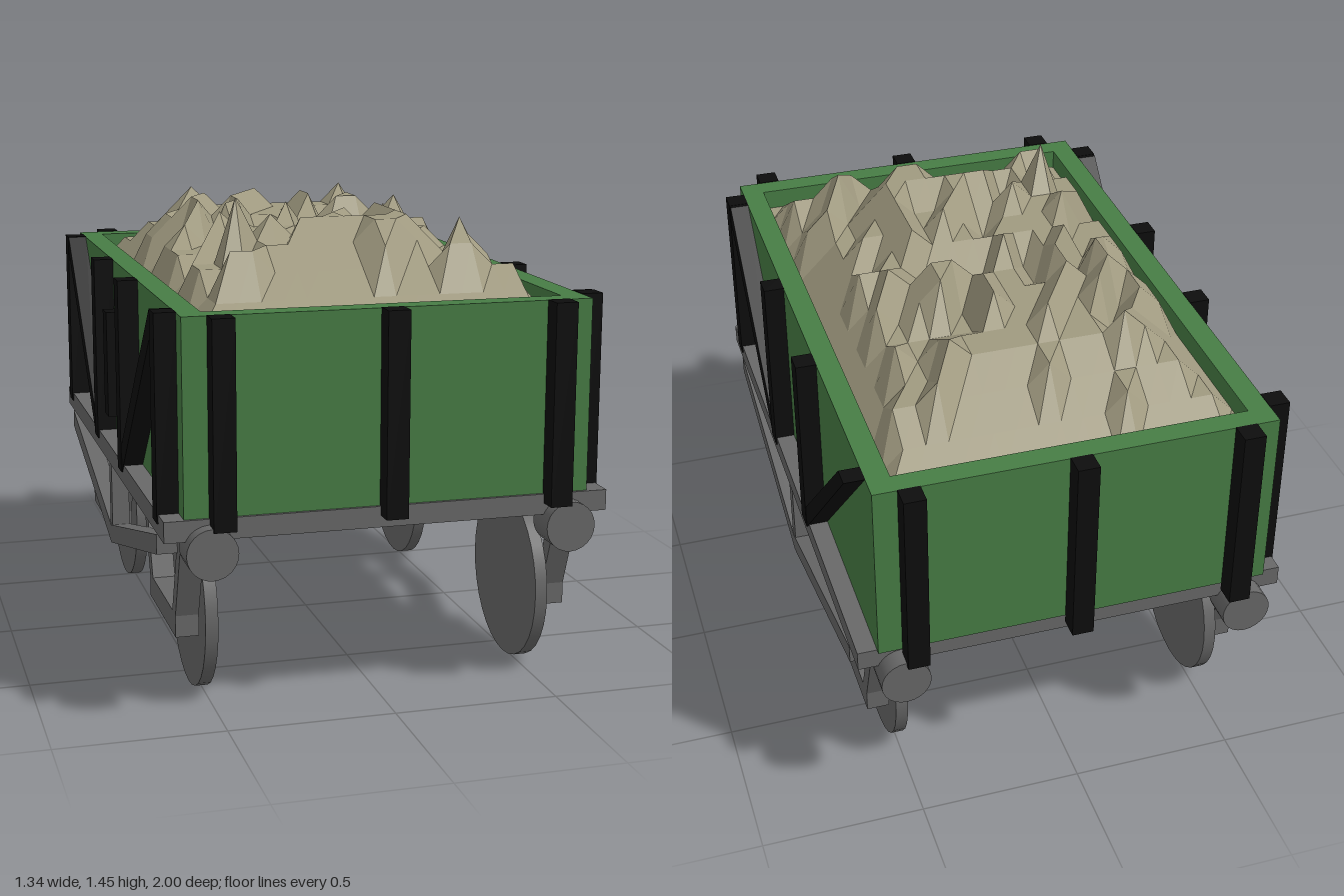
import * as THREE from 'three';

const mat = (name, color) => {
  const m = new THREE.MeshStandardMaterial({ color });
  m.name = name;
  return m;
};

export function createModel() {
  const green = mat('green paint', 0x477d45);
  const grey = mat('grey metal', 0x686868);
  const black = mat('black iron', 0x0d0d0d);
  const stone = mat('crushed stone', 0xa09a80);
  const wagon = new THREE.Group();
  wagon.name = 'wagon';

  const add = (name, geometry, material) => {
    const mesh = new THREE.Mesh(geometry, material);
    mesh.name = name;
    wagon.add(mesh);
    return mesh;
  };
  // Box given by its lower and upper limits
  const block = (name, material, [x0, x1], [y0, y1], [z0, z1]) =>
    add(name, new THREE.BoxGeometry(x1 - x0, y1 - y0, z1 - z0), material)
      .position.set((x0 + x1) / 2, (y0 + y1) / 2, (z0 + z1) / 2);
  // Side profile of [z, y] points, extruded between two x positions
  const profile = (name, material, points, x0, x1) => {
    const shape = new THREE.Shape(points.map(([z, y]) => new THREE.Vector2(z, y)));
    const g = new THREE.ExtrudeGeometry(shape, { depth: x1 - x0, bevelEnabled: false });
    g.rotateY(-Math.PI / 2).translate(x1, 0, 0);
    add(name, g, material);
  };
  // x range mirrored to the chosen side
  const span = (side, a, b) => (side > 0 ? [a, b] : [-b, -a]);

  // Open-topped body
  const rect = (C, w, d) => {
    const s = new C();
    s.moveTo(-w, -d).lineTo(w, -d).lineTo(w, d).lineTo(-w, d).closePath();
    return s;
  };
  const walls = rect(THREE.Shape, 0.605, 0.935);
  walls.holes.push(rect(THREE.Path, 0.535, 0.865));
  add('body', new THREE.ExtrudeGeometry(walls, { depth: 0.575, bevelEnabled: false })
    .rotateX(-Math.PI / 2).translate(0, 0.61, 0), green);

  // Underframe
  block('underframe', grey, [-0.664, 0.664], [0.55, 0.612], [-0.92, 0.945]);

  // End posts
  for (const x of [-0.5, 0, 0.5]) {
    block('frontPost', black, [x - 0.033, x + 0.033], [0.585, 1.187], [0.934, 1]);
    block('backPost', black, [x - 0.033, x + 0.033], [0.585, 1.187], [-1, -0.934]);
  }

  for (const side of [-1, 1]) {
    const outer = span(side, 0.604, 0.668);

    // Side posts; only one side has the post at the back corner
    const posts = side > 0 ? [0.832, 0.235, -0.23] : [0.832, 0.235, -0.23, -0.832];
    for (const z of posts) {
      block('sidePost', black, outer, [0.585, 1.187], [z - 0.033, z + 0.033]);
    }

    // Diagonal braces
    profile('frontBrace', black,
      [[0.83, 1.145], [0.83, 1.186], [0.785, 1.186], [0.235, 0.64], [0.235, 0.586], [0.27, 0.586]],
      span(side, 0.604, 0.666)[0], span(side, 0.604, 0.666)[1]);
    profile('backBrace', black,
      [[-0.862, 1.186], [-0.8, 1.186], [-0.23, 0.63], [-0.23, 0.586], [-0.265, 0.586]],
      span(side, 0.604, 0.666)[0], span(side, 0.604, 0.666)[1]);

    // Truss rod below the frame, with its centre strut
    profile('truss', grey,
      [[0.83, 0.545], [0.83, 0.485], [0.01, 0.28], [-0.81, 0.485], [-0.81, 0.545], [0.01, 0.34]],
      ...span(side, 0.604, 0.664));
    block('trussStrut', grey, span(side, 0.606, 0.662), [0.3, 0.552], [-0.01, 0.032]);

    for (const z of [0.585, -0.545]) {
      // Wheel
      add('wheel', new THREE.CylinderGeometry(0.262, 0.262, 0.038, 32).rotateZ(Math.PI / 2), grey)
        .position.set(side * 0.509, 0.263, z);
      // Axle guard: a bottom bar and two splayed legs
      const guard = span(side, 0.535, 0.604);
      block('axleGuardBar', grey, guard, [0.215, 0.285], [z - 0.2, z + 0.2]);
      for (const s of [-1, 1]) {
        profile('axleGuardLeg', grey,
          [[z + s * 0.2, 0.28], [z + s * 0.152, 0.28], [z + s * 0.255, 0.552], [z + s * 0.305, 0.552]],
          ...guard);
      }
    }

    // Buffers
    for (const z of [0.938, -0.93]) {
      add('buffer', new THREE.CylinderGeometry(0.075, 0.075, 0.106, 24).rotateX(Math.PI / 2), grey)
        .position.set(side * 0.535, 0.52, z);
    }
  }

  // Small plate on one side
  block('sidePlate', black, [-0.668, -0.604], [0.71, 1.05], [-0.033, 0.036]);

  // Heaped load: a grid stepped up from the rim, with uneven lumps
  let seed = 7;
  const random = () => (seed = (seed * 16807) % 2147483647) / 2147483647;
  const n = 16;
  let heap = new THREE.PlaneGeometry(1.072, 1.732, n, n).rotateX(-Math.PI / 2);
  const p = heap.attributes.position;
  for (let j = 0; j <= n; j++) {
    for (let i = 0; i <= n; i++) {
      const ring = Math.min(i, j, n - i, n - j);
      const r = random();
      let level = Math.min(ring, 3);
      if (ring > 0 && r < 0.26) level += 1;
      if (ring > 2 && r > 0.82) level -= 1;
      if (i === 3 && j === 12) level = 5; // tallest lump
      p.setY(j * (n + 1) + i, 1.12 + level * 0.066);
    }
  }
  heap = heap.toNonIndexed();
  heap.computeVertexNormals();
  add('load', heap, stone);

  return wagon;
}
